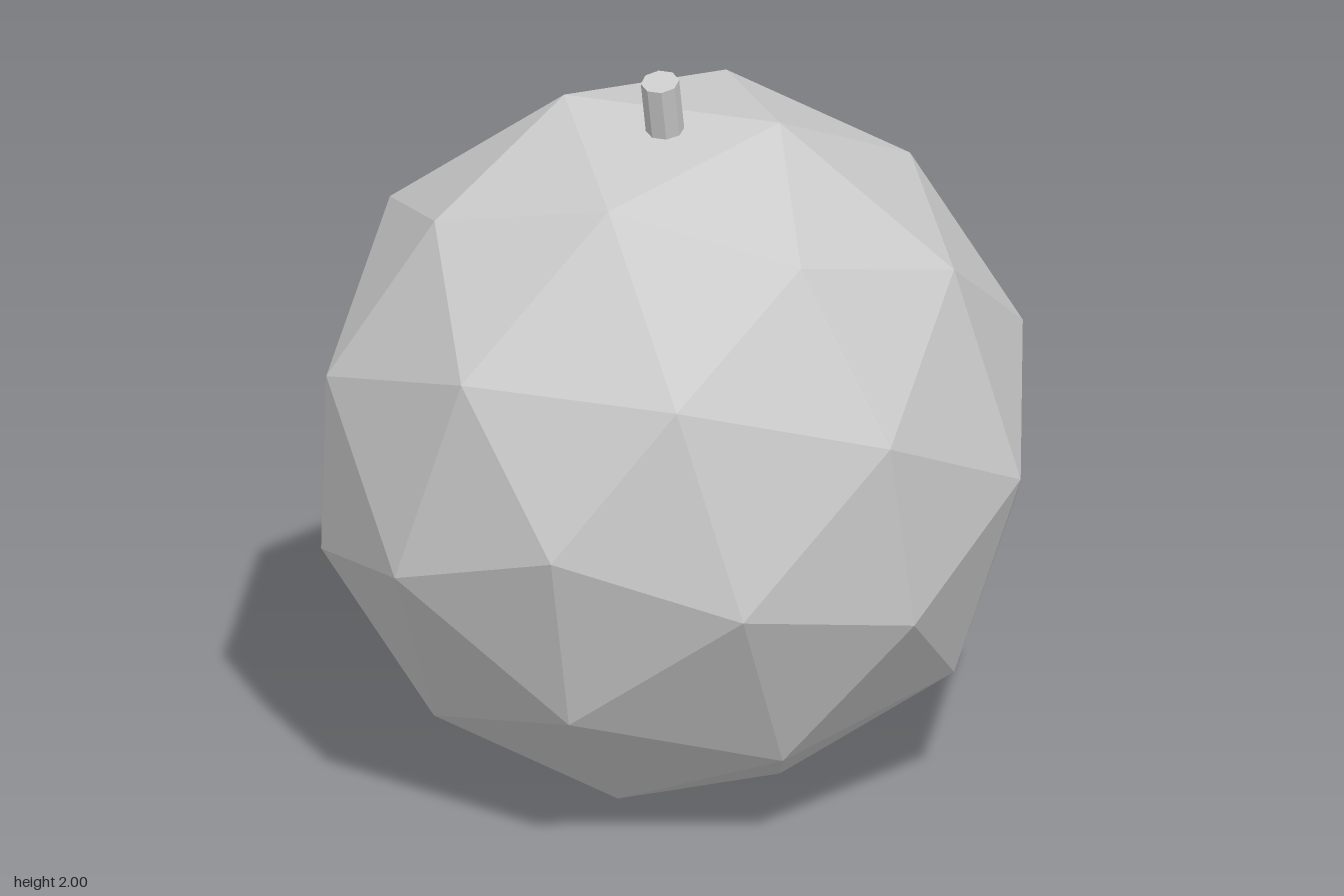
import * as THREE from 'three';

export function createModel() {
  const model = new THREE.Group();
  const material = new THREE.MeshStandardMaterial({ color: 0xcccccc, flatShading: true });

  // Faceted round body, turned so that one five-sided corner points to the front
  const golden = (1 + Math.sqrt(5)) / 2;
  const bodyGeometry = new THREE.IcosahedronGeometry(0.975, 1);
  bodyGeometry.rotateX(Math.atan(1 / golden));
  const body = new THREE.Mesh(bodyGeometry, material);
  body.name = 'body';
  body.position.y = 0.928;
  model.add(body);

  // Short stem leaning forward, its foot just sunk into the body
  const length = 0.16;
  const stemGeometry = new THREE.CylinderGeometry(0.051, 0.051, length, 8);
  stemGeometry.rotateY(Math.PI / 8);
  stemGeometry.translate(0, -length / 2, 0);
  const stem = new THREE.Mesh(stemGeometry, material);
  stem.name = 'stem';
  stem.position.set(0.015, 1.987, 0.14);
  stem.rotation.x = THREE.MathUtils.degToRad(15);
  model.add(stem);

  return model;
}
